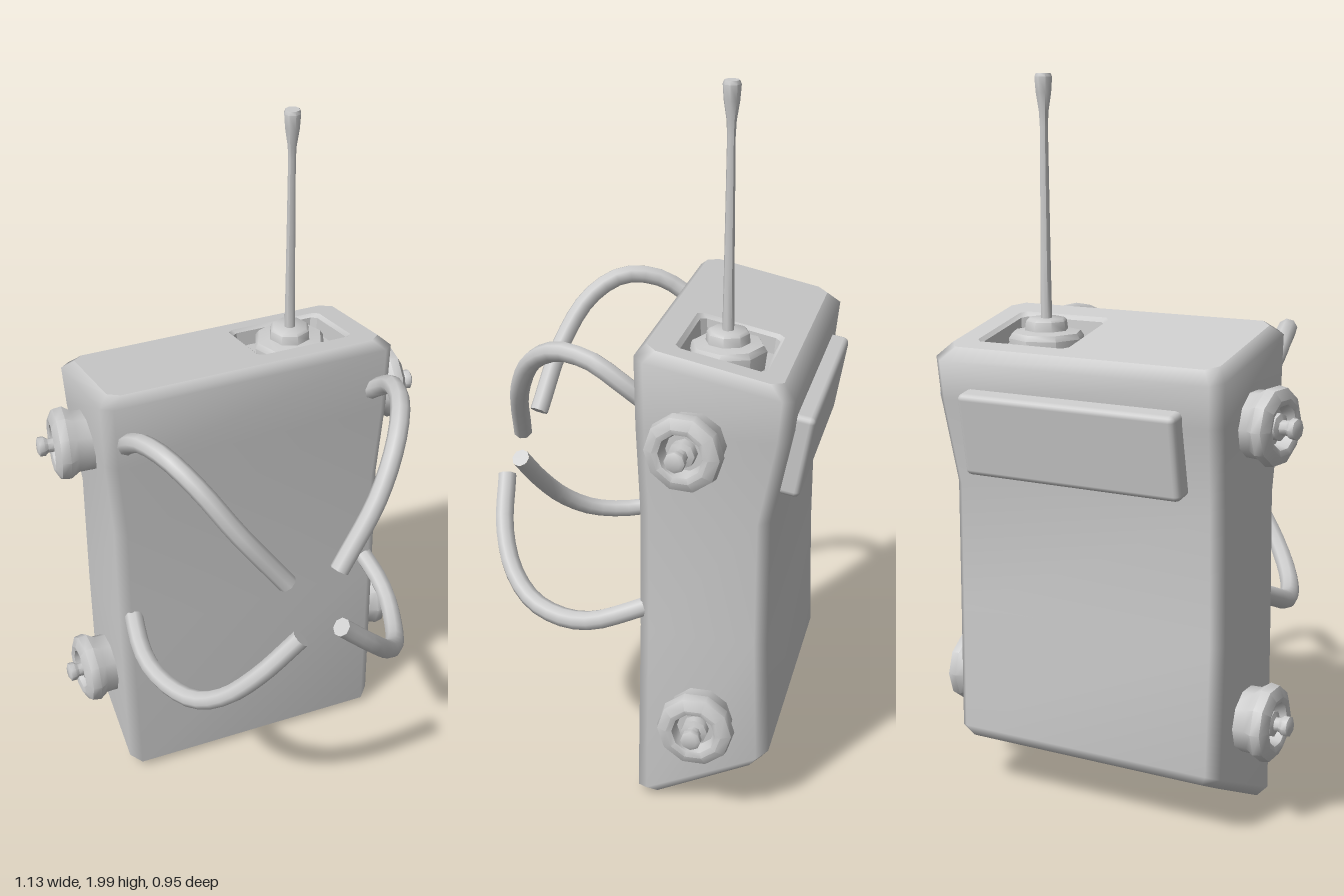
import * as THREE from 'three';
import { toCreasedNormals } from 'three/addons/utils/BufferGeometryUtils.js';
import { RoundedBoxGeometry } from 'three/addons/geometries/RoundedBoxGeometry.js';

const mat = new THREE.MeshStandardMaterial({ color: 0xcccccc, roughness: 0.8 });
const vec = (p) => new THREE.Vector3(...p);

function add(parent, name, geo) {
  const m = new THREE.Mesh(geo, mat);
  m.name = name;
  parent.add(m);
  return m;
}

// Rectangle with cut corners; height runs linearly from yb (back) to yf (front)
function ring(x0, x1, zb, zf, yb, yf, c) {
  const xz = [
    [x1 - c, zf], [x1, zf - c], [x1, zb + c], [x1 - c, zb],
    [x0 + c, zb], [x0, zb + c], [x0, zf - c], [x0 + c, zf],
  ];
  return xz.map(([x, z]) => [x, yb + (yf - yb) * (z - zb) / (zf - zb), z]);
}

// Skin over a stack of rings, with optional end caps
function loft(rings, capStart, capEnd) {
  const n = rings[0].length, idx = [];
  for (let r = 0; r < rings.length - 1; r++) {
    for (let i = 0; i < n; i++) {
      const a = r * n + i, b = r * n + (i + 1) % n;
      idx.push(a, b, b + n, a, b + n, a + n);
    }
  }
  const last = (rings.length - 1) * n;
  for (let i = 1; i < n - 1; i++) {
    if (capStart) idx.push(0, i + 1, i);
    if (capEnd) idx.push(last, last + i, last + i + 1);
  }
  const g = new THREE.BufferGeometry();
  g.setAttribute('position', new THREE.Float32BufferAttribute(rings.flat(2), 3));
  g.setIndex(idx);
  g.computeVertexNormals();
  return g;
}

const topY = (z) => 1.36 + 0.211 * (z + 0.045);

// Lathe whose edges stay crisp where the profile turns sharply
const turned = (profile, sides) => toCreasedNormals(
  new THREE.LatheGeometry(profile.map((p) => new THREE.Vector2(...p)), sides), 0.85);

function buildBody(group) {
  // [half width, back z, front z, back y, front y]
  const levels = [
    [0.385, -0.365, -0.045, 0.165, 0.01],
    [0.405, -0.387, -0.018, 0.2, 0.03],
    [0.41, -0.376, -0.028, 0.55, 0.55],
    [0.408, -0.376, -0.028, 0.9, 0.9],
    [0.425, -0.424, -0.021, 1.14, 1.14],
    [0.43, -0.435, -0.018, 1.25, 1.335],
    [0.4, -0.4, -0.045, topY(-0.4), topY(-0.045)],
  ];
  const rings = levels.map(([w, zb, zf, yb, yf]) => ring(-w, w, zb, zf, yb, yf, 0.03));
  add(group, 'body', loft(rings, true, false));

  // Sloping top with a rectangular well for the aerial
  const well = (inset, depth) => {
    const zb = -0.35 + inset, zf = -0.11 - inset;
    return ring(0.055 + inset, 0.34 - inset, zb, zf, topY(zb) - depth, topY(zf) - depth, 0.015);
  };
  const flat = (r) => r.map(([x, , z]) => new THREE.Vector2(x, -z));
  const shape = new THREE.Shape(flat(rings[rings.length - 1]));
  shape.holes.push(new THREE.Path(flat(well(0, 0))));
  const top = new THREE.ShapeGeometry(shape).rotateX(-Math.PI / 2);
  const pos = top.attributes.position;
  for (let i = 0; i < pos.count; i++) pos.setY(i, topY(pos.getZ(i)));
  top.computeVertexNormals();
  add(group, 'topPlate', top);
  const wellGeo = loft([well(0, 0), well(0.01, 0.01), well(0.014, 0.055)], false, true);
  add(group, 'aerialWell', toCreasedNormals(wellGeo, 0.6));

  // Raised panel on the back
  const panel = add(group, 'backPanel', new RoundedBoxGeometry(0.645, 0.23, 0.085, 2, 0.016));
  panel.position.set(0, 1.065, -0.416);
  panel.rotation.x = -0.17;
}

function buildAerial(group) {
  const aerial = new THREE.Group();
  aerial.name = 'aerial';
  aerial.position.set(0.195, 0, -0.22);
  add(aerial, 'aerialBase', turned([
    [0.095, 1.22], [0.105, 1.3], [0.095, 1.315], [0.06, 1.32],
    [0.057, 1.345], [0.05, 1.352], [0, 1.352],
  ], 8));
  add(aerial, 'aerialRod', turned([
    [0.016, 1.34], [0.014, 1.5], [0.011, 1.86], [0.013, 1.9],
    [0.021, 1.95], [0.024, 1.99], [0.02, 2], [0, 2],
  ], 8));
  group.add(aerial);
}

// Cupped knob with a small flared pin, pointing along +x
function buildKnob(name, pinLength) {
  const knob = new THREE.Group();
  knob.name = name;
  const cup = turned([
    [0.088, -0.02], [0.09, 0.035], [0.106, 0.06], [0.102, 0.085],
    [0.075, 0.1], [0.06, 0.095], [0.052, 0.06], [0, 0.06],
  ], 10);
  const pin = turned([
    [0.036, 0.05], [0.036, 0.085], [0.02, 0.09], [0.02, pinLength - 0.03],
    [0.028, pinLength - 0.02], [0.028, pinLength - 0.005], [0.018, pinLength], [0, pinLength],
  ], 8);
  add(knob, 'knobCup', cup.rotateZ(-Math.PI / 2));
  add(knob, 'knobPin', pin.rotateZ(-Math.PI / 2));
  return knob;
}

function buildKnobs(group) {
  for (const side of [1, -1]) {
    const label = side > 0 ? 'Left' : 'Right';
    const yaw = side > 0 ? 0 : Math.PI;
    const upper = buildKnob('upperKnob' + label, 0.14);
    upper.position.set(side * 0.422, 1.122, -0.2 + side * 0.022);
    upper.rotation.y = yaw - 0.13;
    const lower = buildKnob('lowerKnob' + label, 0.134);
    lower.position.set(side * 0.405, 0.305, -0.202);
    lower.rotation.y = yaw;
    group.add(upper, lower);
  }
}

// Bent tube with closed end
function buildStrap(group, name, points, side) {
  const strap = new THREE.Group();
  strap.name = name;
  const curve = new THREE.CatmullRomCurve3(points.map(([x, y, z]) => vec([x * side, y, z])));
  add(strap, 'strapTube', new THREE.TubeGeometry(curve, 18, 0.027, 8, false));
  const end = add(strap, 'strapEnd', new THREE.CircleGeometry(0.027, 8));
  end.position.copy(curve.getPoint(1));
  end.quaternion.setFromUnitVectors(vec([0, 0, 1]), curve.getTangent(1));
  group.add(strap);
}

export function createModel() {
  const group = new THREE.Group();
  group.name = 'backpackRadio';
  buildBody(group);
  buildAerial(group);
  buildKnobs(group);

  const upper = [
    [0.365, 1.2, -0.04], [0.375, 1.255, 0.03], [0.365, 1.295, 0.1], [0.335, 1.305, 0.2],
    [0.28, 1.25, 0.29], [0.2, 1.13, 0.355], [0.075, 0.955, 0.393],
  ];
  const lower = [
    [0.37, 0.605, -0.04], [0.382, 0.572, 0.04], [0.38, 0.545, 0.11], [0.355, 0.53, 0.2],
    [0.31, 0.545, 0.3], [0.25, 0.6, 0.375], [0.17, 0.69, 0.425], [0.06, 0.805, 0.45],
  ];
  for (const side of [1, -1]) {
    const label = side > 0 ? 'Left' : 'Right';
    buildStrap(group, 'upperStrap' + label, upper, side);
    buildStrap(group, 'lowerStrap' + label, lower, side);
  }
  return group;
}
